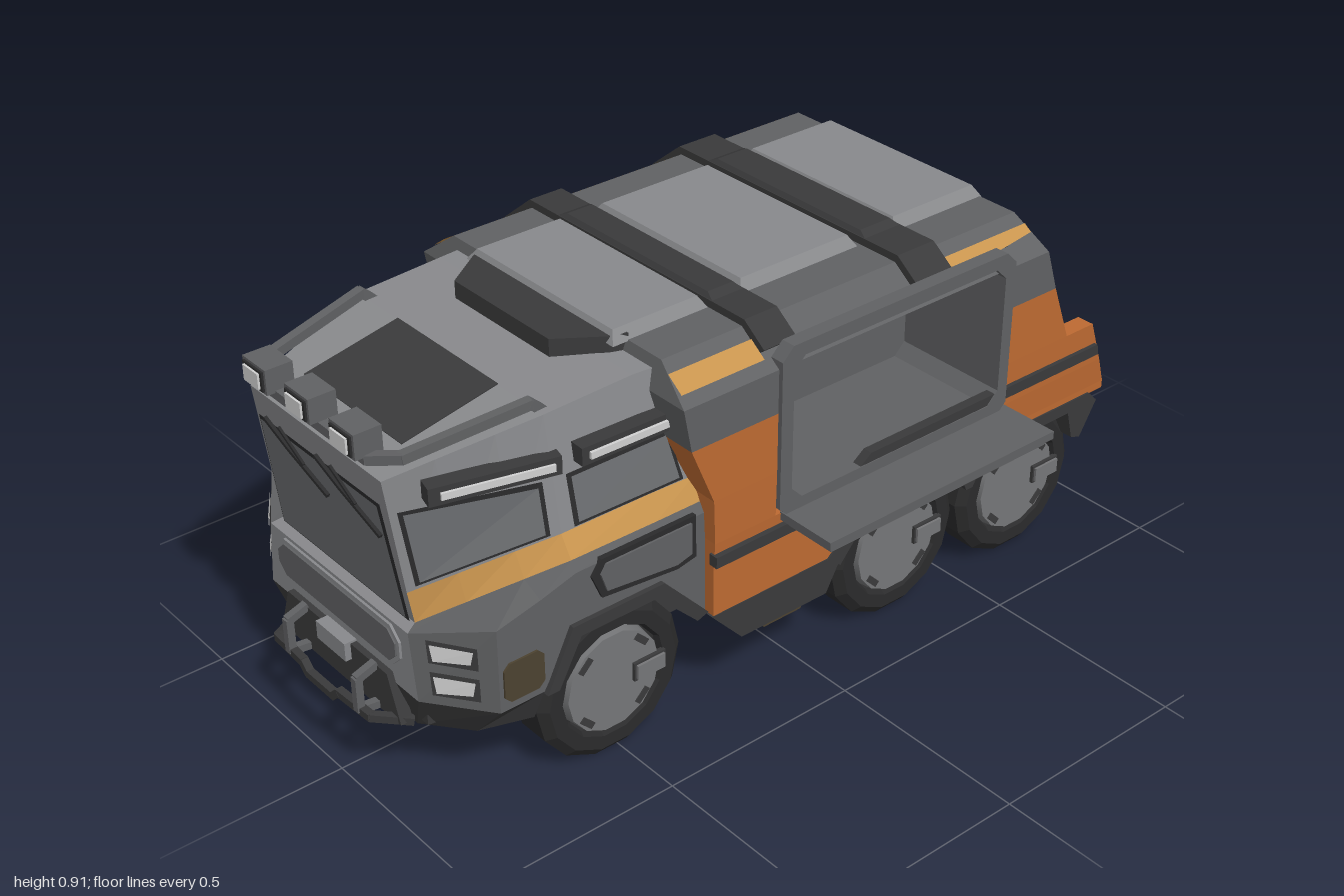
import * as THREE from 'three';

const mat = (name, color) => Object.assign(new THREE.MeshStandardMaterial({ color, side: THREE.DoubleSide }), { name });
const LIGHT = mat('light grey', 0x88898c), MID = mat('mid grey', 0x606163), DARK = mat('dark grey', 0x3a3a3b),
  RUBBER = mat('black rubber', 0x2b2b2c), ORANGE = mat('orange', 0xbd6a32), STRIPE = mat('pale orange', 0xc8944e),
  GLASS = mat('smoked glass', 0x6c6e71), BROWN = mat('brown', 0x4c4230), LAMP = mat('lamp white', 0xd0d0d0),
  RIM = mat('wheel grey', 0x757678);

const lerp = (a, b, t) => a.map((v, i) => v + (b[i] - v) * t);
const flip = q => q.map(([x, y, z]) => [-x, y, z]);
const V = p => new THREE.Vector3(...p);

export function createModel() {
  const root = new THREE.Group();
  root.name = 'truck';
  const body = new THREE.Group();
  body.name = 'vehicle';
  body.position.x = -0.073; // the counter sticks out on one side
  root.add(body);

  const add = (name, geo, m, parent = body) => {
    const mesh = new THREE.Mesh(geo, m);
    mesh.name = name;
    parent.add(mesh);
    return mesh;
  };
  const quads = (name, list, m) => {
    const pos = list.flatMap(([a, b, c, d]) => [a, b, c, a, c, d].flat());
    const g = new THREE.BufferGeometry();
    g.setAttribute('position', new THREE.Float32BufferAttribute(pos, 3));
    g.computeVertexNormals();
    return add(name, g, m);
  };
  const both = (name, list, m) => quads(name, [...list, ...list.map(flip)], m);
  const box = (name, x0, x1, y0, y1, z0, z1, m) => {
    const b = add(name, new THREE.BoxGeometry(x1 - x0, y1 - y0, z1 - z0), m);
    b.position.set((x0 + x1) / 2, (y0 + y1) / 2, (z0 + z1) / 2);
    return b;
  };
  // square bar between two points
  const bar = (name, a, b, w, h, m) => {
    const mesh = new THREE.Mesh(new THREE.BoxGeometry(w, h, V(a).distanceTo(V(b)) + w * .3), m);
    mesh.name = name;
    mesh.position.copy(V(a).lerp(V(b), 0.5));
    mesh.lookAt(V(b)); // aimed before it joins the shifted group
    body.add(mesh);
  };
  const bars = (name, pts, w, m) => pts.slice(1).forEach((p, i) => bar(name, pts[i], p, w, w, m));
  // outline in (z, y), extruded from x0 to x1
  const sideExtrude = (name, pts, x0, x1, m, hole) => {
    const s = new THREE.Shape(pts.map(([z, y]) => new THREE.Vector2(-z, y)));
    if (hole) s.holes.push(new THREE.Path(hole.map(([z, y]) => new THREE.Vector2(-z, y))));
    const g = new THREE.ExtrudeGeometry(s, { depth: x1 - x0, bevelEnabled: false });
    add(name, g.rotateY(Math.PI / 2).translate(x0, 0, 0), m);
  };
  const frontExtrude = (name, pts, z0, z1, m) => {
    const s = new THREE.Shape(pts.map(p => new THREE.Vector2(...p)));
    add(name, new THREE.ExtrudeGeometry(s, { depth: z1 - z0, bevelEnabled: false }).translate(0, 0, z0), m);
  };
  // outline in (x, z), extruded upwards
  const planExtrude = (name, pts, y0, y1, m) => {
    const s = new THREE.Shape(pts.map(([x, z]) => new THREE.Vector2(x, -z)));
    add(name, new THREE.ExtrudeGeometry(s, { depth: y1 - y0, bevelEnabled: false }).rotateX(-Math.PI / 2).translate(0, y0, 0), m);
  };
  // rectangle with cut corners
  const cutRect = (a0, a1, b0, b1, c) => [[a0 + c, b0], [a1 - c, b0], [a1, b0 + c], [a1, b1 - c], [a1 - c, b1], [a0 + c, b1], [a0, b1 - c], [a0, b0 + c]];
  // thin plate laid on a four-cornered face, u and v running 0..1
  const plate = (name, [a, b, c, d], corners, off, m) => {
    const n = V(b).sub(V(a)).cross(V(d).sub(V(a))).normalize();
    if (n.x < 0) n.negate();
    both(name, [corners.map(([u, v]) => V(lerp(lerp(a, b, u), lerp(d, c, u), v)).addScaledVector(n, off).toArray())], m);
  };
  const rect = (u0, u1, v0, v1) => [[u0, v0], [u1, v0], [u1, v1], [u0, v1]];
  const grow = (r, d) => { // widen a plate outline around its centre
    const cu = (r[0][0] + r[2][0]) / 2, cv = (r[0][1] + r[2][1]) / 2;
    return r.map(([u, v]) => [u + Math.sign(u - cu) * d, v + Math.sign(v - cv) * d]);
  };

  // cab: levels of points on one side, front to back
  const run = (F, M) => [F, lerp(F, M, 0.33), lerp(F, M, 0.7), M];
  const low = [[.28, .27, .925], [.42, .27, .82], [.42, .27, .71], [.42, .40, .63], [.42, .40, .40], [.42, .27, .28]];
  const waist = [[.26, .43, .925], [.42, .475, .82], [.42, .50, .71], [.42, .525, .62], [.42, .525, .4], [.42, .525, .28]];
  const ledge = [...run([.25, .44, .90], [.405, .548, .62]), [.408, .548, .4], [.408, .548, .28]];
  const sill = [...run([.245, .515, .91], [.375, .597, .62]), [.38, .6, .4], [.385, .6, .28]];
  const roof = [...run([.24, .79, .945], [.33, .855, .62]), [.335, .865, .4], [.34, .865, .34]];
  const skin = (name, a, b, m, frontMat = m) => {
    both(name, a.slice(1).map((p, i) => [a[i], p, b[i + 1], b[i]]), m);
    quads(name + 'Front', [[...flip([a[0]]), a[0], b[0], ...flip([b[0]])]], frontMat);
  };
  const cap = (name, l, m) => quads(name, l.slice(1).map((p, i) => [l[i], p, ...flip([p]), ...flip([l[i]])]), m);
  skin('cabFender', low, waist, MID, LIGHT);
  skin('cabLedge', waist, ledge, MID, LIGHT);
  skin('cabStripe', ledge, sill, STRIPE, LIGHT);
  skin('cabUpper', sill, roof, LIGHT);
  cap('cabRoof', roof, LIGHT);
  const chin = [[.23, .17, .90], [.33, .17, .82], [.38, .18, .71]];
  skin('bumper', chin, low.slice(0, 3), DARK);
  cap('bumperFloor', chin, DARK);

  // cab windows, lamps and panels
  quads('windscreenSeal', [[[-.238, .437, .904], [.238, .437, .904], [.223, .728, .942], [-.223, .728, .942]]], RUBBER);
  quads('windscreen', [[[-.230, .445, .908], [.230, .445, .908], [.215, .721, .944], [-.215, .721, .944]]], GLASS);
  const frontSide = [sill[0], sill[3], roof[3], roof[0]], rearSide = [sill[3], sill[5], roof[5], roof[3]];
  const w1 = [[.09, .07], [.9, .06], [.9, .46], [.08, .68]], w2 = rect(.12, .88, .05, .44);
  for (const [face, w] of [[frontSide, w1], [rearSide, w2]]) {
    plate('windowSeal', face, grow(w, .03), .005, RUBBER);
    plate('sideWindow', face, w, .009, GLASS);
  }
  const corner = [low[0], low[1], [.42, .43, .82], waist[0]];
  for (const [v0, v1] of [[.2, .45], [.68, .92]]) {
    plate('headlightFrame', corner, rect(.2, .78, v0 - .05, v1 + .05), .004, DARK);
    plate('headlight', corner, [[.26, v0], [.7, v0 + .04], [.74, v1], [.24, v1]], .008, LAMP);
  }
  for (const s of [-1, 1]) {
    for (const [a, b] of [[[.285, .755, .87], [.352, .755, .61]], [[.362, .758, .56], [.368, .758, .335]]]) {
      const out = p => [s * (p[0] + .02), p[1], p[2]];
      bar('sideLampHousing', [s * a[0], a[1], a[2]], [s * b[0], b[1], b[2]], .04, .042, DARK);
      bar('sideLamp', out(lerp(a, b, .06)), out(lerp(a, b, .94)), .014, .016, LAMP);
    }
    const x = (a, b) => s > 0 ? [a, b] : [-b, -a];
    sideExtrude('doorPanel', [[.585, .50], [.56, .535], [.31, .535], [.31, .43], [.36, .42], [.56, .44]], ...x(.41, .427), RUBBER);
    sideExtrude('doorPanelInset', [[.565, .50], [.55, .522], [.325, .522], [.325, .445], [.365, .435], [.55, .455]], ...x(.42, .432), MID);
    sideExtrude('cornerPanel', cutRect(.71, .81, .29, .385, .015), ...x(.41, .425), BROWN);
    // wheel arches
    sideExtrude('frontArch', [[.71, .265], [.64, .405], [.40, .405], [.28, .275], [.31, .265], [.42, .375], [.62, .375], [.68, .265]], ...x(.36, .432), DARK);
    sideExtrude('rearArch', [[-.05, .27], [-.17, .375], [-.90, .375], [-.93, .345], [-.88, .26], [-.85, .27], [-.83, .345], [-.55, .345],
      [-.51, .27], [-.49, .27], [-.45, .345], [-.18, .345], [-.09, .24]], ...x(.36, .452), DARK);
    // trim line along the body
    sideExtrude('sideTrim', [[.285, .405], [-.06, .405], [-.17, .485], [-.905, .485], [-.90, .513], [-.16, .513], [-.05, .433], [.285, .433]], ...x(.44, .464), DARK);
  }

  // front panel, hook plate and bull bar
  frontExtrude('grilleRim', cutRect(-.232, .232, .322, .422, .03), .92, .931, LIGHT);
  frontExtrude('grille', cutRect(-.222, .222, .332, .412, .025), .925, .935, MID);
  frontExtrude('chinPlate', [[-.23, .185], [.23, .185], [.19, .295], [-.19, .295]], .91, .94, DARK);
  box('winchPlate', -.055, .055, .255, .30, .92, .955, LIGHT);
  for (const x of [-.12, .145]) bars('bullBarPost', [[x, .295, .94], [x, .28, .985], [x, .20, .985], [x, .19, .90]], .018, MID);
  bars('bullBar', [[-.23, .185, .91], [-.18, .20, .98], [-.07, .20, .985], [-.05, .18, .985], [.05, .18, .985], [.07, .20, .985], [.18, .20, .98], [.23, .185, .91]], .018, DARK);

  // wipers
  for (const x of [-.18, .01]) {
    bars('wiper', [[x, .742, .952], [x + .08, .705, .949], [x + .205, .65, .941]], .008, RUBBER);
    bars('wiperArm', [[x + .055, .745, .953], [x + .13, .69, .947]], .006, RUBBER);
  }

  // roof hatch, rack and spotlights
  const hatch = box('roofHatch', -.178, .178, -.005, .005, -.12, .12, DARK);
  hatch.position.set(0, .829, .735);
  hatch.rotation.x = .2;
  bars('roofRack', [[.30, .845, .60], [.30, .872, .63], [.25, .832, .90], [.2, .825, .945], [-.2, .825, .945], [-.25, .832, .90], [-.30, .872, .63], [-.30, .845, .60]], .022, MID);
  for (const x of [-.16, 0, .16]) {
    bar('rackPost', [x, .785, .925], [x, .85, .945], .02, .02, MID);
    const y = x ? .86 : .866;
    box('spotlight', x - .043, x + .043, y - .029, y + .029, .91, .975, MID);
    box('spotlightRim', x - .036, x + .036, y - .023, y + .023, .975, .98, RUBBER);
    box('spotlightLens', x - .028, x + .028, y - .018, y + .018, .978, .985, LAMP);
  }

  // cargo body: levels of [half width, y, front z, rear z]
  const levels = [[.448, .39, .28, -.95], [.453, .46, .28, -.925], [.455, .57, .285, -.885], [.455, .57, .285, -.795],
    [.455, .715, .345, -.74], [.455, .82, .365, -.705], [.36, .89, .345, -.685]];
  const HZ0 = .11, HZ1 = -.58; // serving hatch range
  const wall = ([x0, y0], [x1, y1], a0, b0, a1, b1) => [[x0, y0, a0], [x0, y0, b0], [x1, y1, b1], [x1, y1, a1]];
  levels.slice(1).forEach((q, i) => {
    const p = levels[i], m = i < 4 ? ORANGE : MID;
    const full = wall(p, q, p[2], p[3], q[2], q[3]);
    const right = i > 0 && i < 5 ? [wall(p, q, p[2], HZ0, q[2], HZ0), wall(p, q, HZ1, p[3], HZ1, q[3])] : [full];
    quads('bodySide', [flip(full), ...right], m);
    quads('bodyFront', [[[-p[0], p[1], p[2]], [p[0], p[1], p[2]], [q[0], q[1], q[2]], [-q[0], q[1], q[2]]]], m);
    // rear rim and cavity lining
    const inn = l => [l[0] - .045, Math.min(l[1], .85), l[3]];
    const pi = inn(p), qi = inn(q);
    both('rearRim', [[[p[0], p[1], p[3]], pi, qi, [q[0], q[1], q[3]]]], i < 3 ? ORANGE : MID);
    both('cavityLining', [[pi, [pi[0], pi[1], -.6], [qi[0], qi[1], -.6], qi]], DARK);
  });
  quads('bodyRoof', [[[-.36, .89, .345], [.36, .89, .345], [.36, .89, -.685], [-.36, .89, -.685]]], MID);
  quads('rearRimTop', [[[-.36, .89, -.685], [.36, .89, -.685], [.315, .85, -.69], [-.315, .85, -.69]]], MID);
  quads('cavityCeiling', [[[-.41, .85, -.69], [.41, .85, -.69], [.41, .85, -.6], [-.41, .85, -.6]]], DARK);
  box('cavityWall', -.415, .415, .39, .85, -.61, -.60, DARK);
  frontExtrude('cavityPanel', [[-.3, .74], [-.3, .58], [-.17, .58], [-.12, .52], [.12, .52], [.17, .58], [.3, .58], [.3, .74]], -.635, -.61, RUBBER);
  box('cavityBeam', -.40, .40, .77, .83, -.66, -.61, DARK);
  box('cavityFloor', -.41, .41, .38, .41, -.95, -.60, DARK);

  // raised roof panels and front scoop
  const frustum = (name, w0, w1, z0, z1, y0, y1, d, m) => {
    const a = [[-w0, y0, z0], [w0, y0, z0], [w0, y0, z1], [-w0, y0, z1]];
    const b = [[-w1, y1, z0 + d], [w1, y1, z0 + d], [w1, y1, z1 - d], [-w1, y1, z1 - d]];
    quads(name, [b, ...a.map((p, i) => [p, a[(i + 1) % 4], b[(i + 1) % 4], b[i]])], m);
  };
  for (const [z0, z1] of [[-.69, -.41], [-.30, .04], [.13, .385]]) frustum('roofPanel', .255, .235, z0, z1, .888, .915, .015, LIGHT);
  planExtrude('roofScoop', [[-.25, .34], [.25, .34], [.235, .38], [.165, .48], [-.165, .48], [-.235, .38]], .85, .903, DARK);

  // belts over the roof, longer on the closed side
  for (const [z0, z1] of [[-.42, -.31], [.04, .13]]) {
    frontExtrude('roofBelt', [[-.44, .56], [-.467, .58], [-.467, .828], [-.367, .908], [.367, .908], [.43, .862], [.41, .845], [.34, .87], [-.34, .87], [-.44, .80]], z0, z1, DARK);
    frustum('beltCap', .27, .24, z0, z1, .905, .918, .01, DARK);
  }

  // pale stripes on the roof shoulder
  const shoulder = (s, z0, z1, x0 = .432) => quads('shoulderStripe', [[[s * x0, .898 - (x0 - .355) * .737, z0], [s * .432, .841, z1], [s * .39, .872, z1], [s * .39, .872, z0]]], STRIPE);
  for (const [z0, z1] of [[-.69, -.42], [-.31, .04], [.13, .352]]) shoulder(-1, z0, z1);
  shoulder(1, -.69, -.42, .41);
  shoulder(1, .13, .352);

  // serving hatch: frame, recess and counter
  const opening = cutRect(-.555, .077, .49, .838, .03);
  sideExtrude('hatchFrame', cutRect(-.585, .11, .45, .87, .03), .43, .466, MID, opening);
  sideExtrude('hatchRecess', cutRect(-.575, .10, .465, .848, .03), .16, .44, MID, opening);
  box('hatchBackWall', .15, .165, .46, .85, -.58, .11, MID);
  box('counter', .45, .608, .442, .462, -.595, .095, MID);
  box('counterRib', .45, .595, .426, .444, -.58, .08, MID);
  for (const z of [-.46, .02]) box('counterBracket', .45, .49, .41, .43, z - .015, z + .015, DARK);

  // lower body, chassis and rear bumper
  sideExtrude('lowerBody', [[.28, .40], [.28, .27], [-.06, .27], [-.17, .37], [-.95, .37], [-.95, .395]], -.448, .448, ORANGE);
  sideExtrude('middleSkirt', [[.285, .272], [.2, .18], [-.05, .18], [-.1, .272]], -.45, .45, DARK);
  sideExtrude('chassis', [[.9, .40], [.9, .19], [.75, .17], [-.10, .17], [-.15, .21], [-.80, .21], [-.94, .33], [-.95, .37]], -.27, .27, DARK);
  box('frontWellRoof', -.41, .41, .395, .41, .28, .70, DARK);
  sideExtrude('skidBox', [[.12, .19], [.09, .125], [-.02, .125], [-.05, .19]], -.40, .40, BROWN);
  sideExtrude('rearSkid', [[-.56, .22], [-.60, .18], [-.78, .18], [-.82, .22]], -.13, .13, BROWN);
  planExtrude('rearBumper', [[-.44, -.86], [-.44, -.90], [-.27, -1], [.27, -1], [.44, -.90], [.44, -.86]], .34, .405, DARK);
  sideExtrude('bumperUnderside', [[-.86, .345], [-.98, .345], [-.88, .26], [-.86, .26]], -.27, .27, DARK);
  for (const x of [-.2, .2]) box('tailLamp', x - .035, x + .035, .295, .318, -.952, -.90, ORANGE);

  // wheels
  const tyre = new THREE.LatheGeometry([[.13, -.058], [.17, -.058], [.192, -.04], [.192, .04], [.17, .058], [.137, .058], [.13, .045]].map(p => new THREE.Vector2(...p)), 14).toNonIndexed();
  tyre.computeVertexNormals();
  tyre.rotateZ(-Math.PI / 2);
  for (const [z, x] of [[.517, .345], [-.30, .362], [-.70, .362]]) {
    const axle = add('axle', new THREE.CylinderGeometry(.04, .04, .6, 8).rotateZ(Math.PI / 2), DARK);
    axle.position.set(0, .191, z);
    for (const s of [-1, 1]) {
      const wheel = new THREE.Group();
      wheel.name = 'wheel';
      wheel.position.set(s * x, .191, z);
      wheel.rotation.y = s > 0 ? 0 : Math.PI;
      body.add(wheel);
      add('tyre', tyre, RUBBER, wheel);
      add('rim', new THREE.CylinderGeometry(.122, .136, .116, 14).rotateZ(-Math.PI / 2), RIM, wheel);
      for (let i = 0; i < 4; i++) {
        const a = (i + .5) * Math.PI / 2;
        const slot = add('rimSlot', new THREE.BoxGeometry(.008, .016, .04), DARK, wheel);
        slot.position.set(.057, Math.cos(a) * .105, Math.sin(a) * .105);
        slot.rotation.x = a;
      }
      add('hubBarSeat', new THREE.BoxGeometry(.012, .046, .085), DARK, wheel).position.set(.06, 0, -.092);
      add('hubBar', new THREE.BoxGeometry(.02, .036, .075), RIM, wheel).position.set(.062, 0, -.092);
    }
  }
  return root;
}
